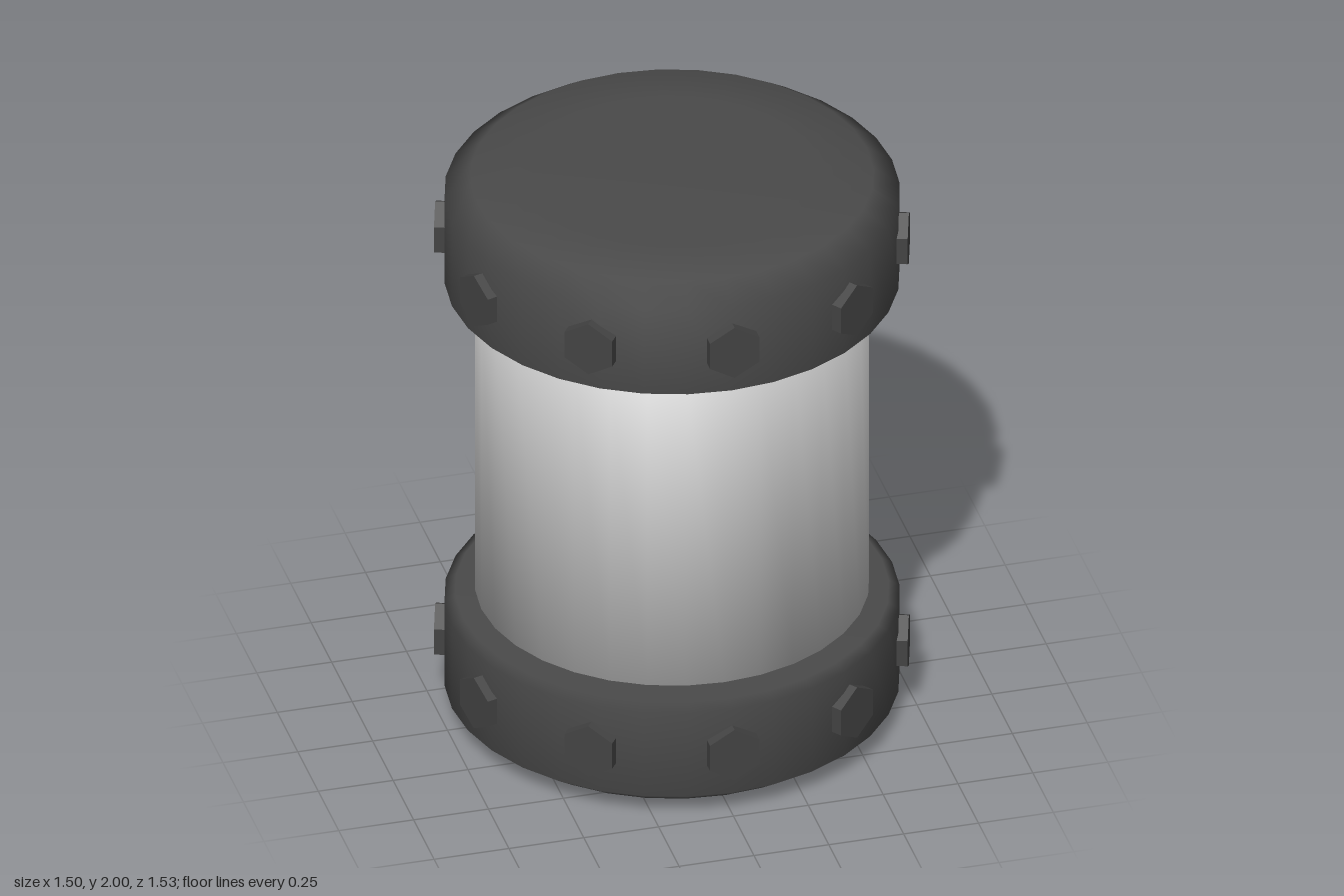
import * as THREE from 'three';

const SIDES = 32;

function lathe(name, points, material) {
  const profile = points.map(([r, y]) => new THREE.Vector2(r, y));
  const mesh = new THREE.Mesh(new THREE.LatheGeometry(profile, SIDES), material);
  mesh.name = name;
  return mesh;
}

export function createModel() {
  const model = new THREE.Group();
  model.name = 'canister';

  const grey = new THREE.MeshStandardMaterial({ color: 0xcccccc });
  const dark = new THREE.MeshStandardMaterial({ color: 0x4a4a4a });
  const boltDark = new THREE.MeshStandardMaterial({ color: 0x444444, flatShading: true });

  // Closed body with softly shaded rims, and the narrower neck below it
  model.add(lathe('body', [[0, 0.44], [0.637, 0.44], [0.637, 1.61], [0, 1.61]], grey));
  model.add(lathe('neck', [[0, 0.38], [0.58, 0.38], [0.58, 0.46], [0, 0.46]], grey));

  // Rounded end caps, the lower one mirrored from the upper
  const capProfile = [
    [0, 1.585], [0.7, 1.585], [0.735, 1.605], [0.735, 1.92],
    [0.65, 1.98], [0.45, 2], [0, 2],
  ];
  const mirrored = capProfile.map(([r, y]) => [r, 2 - y]).reverse();
  model.add(lathe('topCap', capProfile, dark));
  model.add(lathe('bottomCap', mirrored, dark));

  // Ten hexagonal bolts around each cap
  const boltGeometry = new THREE.CylinderGeometry(0.095, 0.095, 0.1, 6);
  boltGeometry.rotateX(Math.PI / 2).translate(0, 0, 0.714);
  for (const [name, y] of [['topBolts', 1.764], ['bottomBolts', 0.24]]) {
    const ring = new THREE.Group();
    ring.name = name;
    ring.position.y = y;
    for (let i = 0; i < 10; i++) {
      const bolt = new THREE.Mesh(boltGeometry, boltDark);
      bolt.name = 'bolt';
      bolt.rotation.y = (i * Math.PI) / 5;
      ring.add(bolt);
    }
    model.add(ring);
  }

  return model;
}
